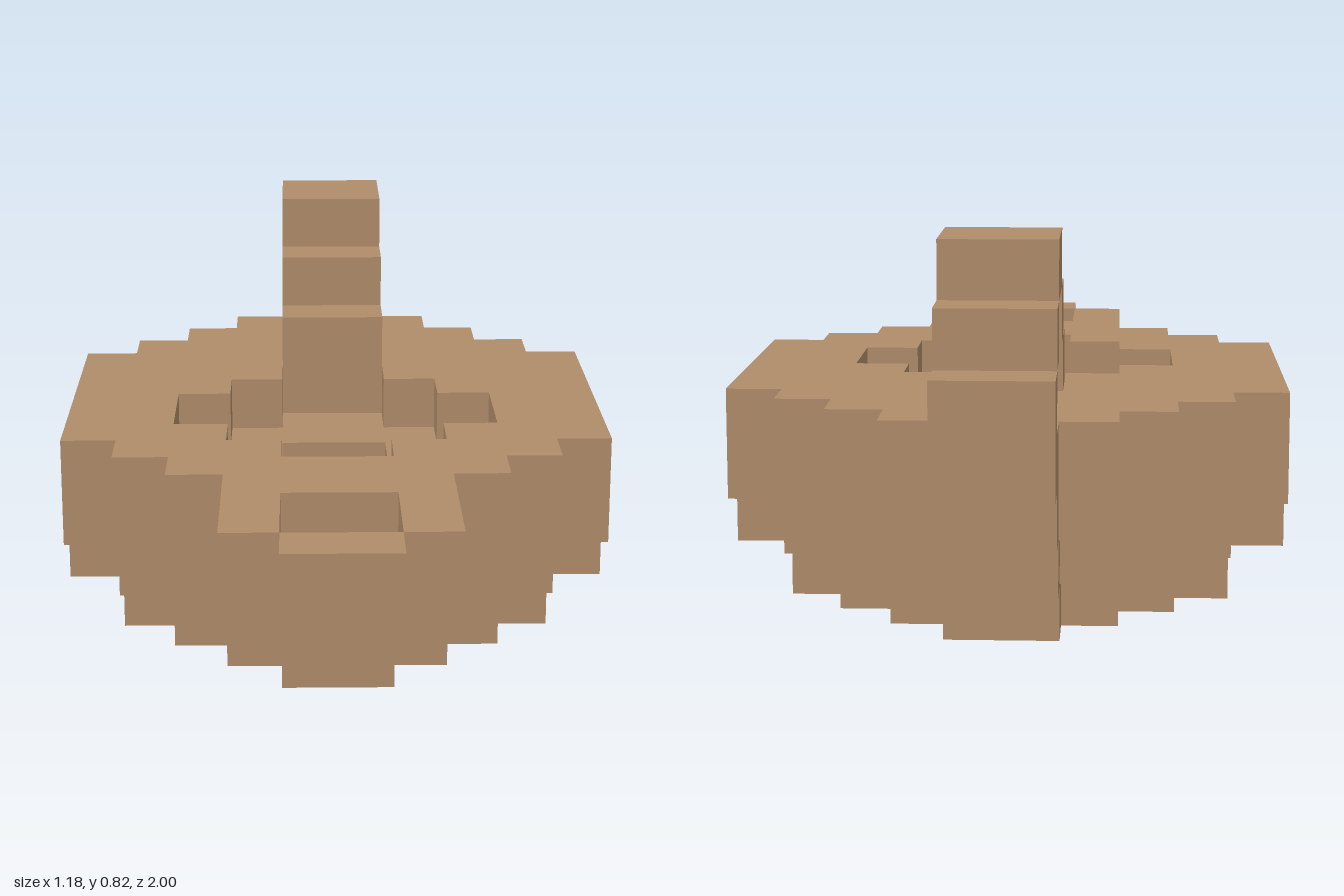
import * as THREE from 'three';

const U = 2 / 17; // one block

// Mirrored stepped outline: half widths per row, starting at row k counted from the back
function steppedPoints(k, widths) {
  const right = [];
  widths.forEach((w, i) => {
    const z0 = -1 + (k + i) * U;
    if (i > 0 && widths[i - 1] === w) right.pop();
    else right.push(new THREE.Vector2(w * U, z0));
    right.push(new THREE.Vector2(w * U, z0 + U));
  });
  const left = right.map((p) => new THREE.Vector2(-p.x, p.y)).reverse();
  return [...right, ...left];
}

export function createModel() {
  const model = new THREE.Group();
  model.name = 'oilLamp';
  const clay = new THREE.MeshStandardMaterial({ color: 0xaf8c69 });
  clay.name = 'clay';

  // Body layers from the foot up, each one block high: [name, first row, half widths, holes]
  const layers = [
    ['foot', 3, [1, 2, 3, 4, 4, 4, 4, 3, 2, 1], []],
    ['lowerBowl', 2, [1, 2, 3, 4, 5, 5, 5, 5, 4, 3, 2, 1], []],
    ['upperBowl', 1, [1, 2, 3, 4, 5, 5, 5, 5, 5, 5, 4, 3, 2, 1, 1],
      [[8, [1, 1]]]], // filling hole
    ['rim', 1, [1, 2, 3, 4, 5, 5, 5, 5, 5, 5, 4, 3, 2, 2, 2, 1],
      [[6, [1, 2, 3, 3, 2, 1]], [14, [1, 1]]]], // basin and spout hole
  ];
  layers.forEach(([name, k, widths, holes], level) => {
    const shape = new THREE.Shape(steppedPoints(k, widths));
    for (const [hk, hw] of holes) shape.holes.push(new THREE.Path(steppedPoints(hk, hw)));
    const geo = new THREE.ExtrudeGeometry(shape, { depth: U, bevelEnabled: false });
    geo.rotateX(Math.PI / 2).translate(0, (level + 1) * U, 0);
    const mesh = new THREE.Mesh(geo, clay);
    mesh.name = name;
    model.add(mesh);
  });

  // Looped handle: blocks as [first row, rows long, first level, levels high]
  const handle = new THREE.Group();
  handle.name = 'handle';
  const blocks = [[5, 1, 4, 1], [4, 1, 5, 1], [2, 2, 6, 1], [1, 1, 5, 1], [0, 1, 3, 2]];
  blocks.forEach(([k, len, y, h], i) => {
    const mesh = new THREE.Mesh(new THREE.BoxGeometry(2 * U, h * U, len * U), clay);
    mesh.position.set(0, (y + h / 2) * U, -1 + (k + len / 2) * U);
    mesh.name = `handleBlock${i + 1}`;
    handle.add(mesh);
  });
  model.add(handle);
  return model;
}
